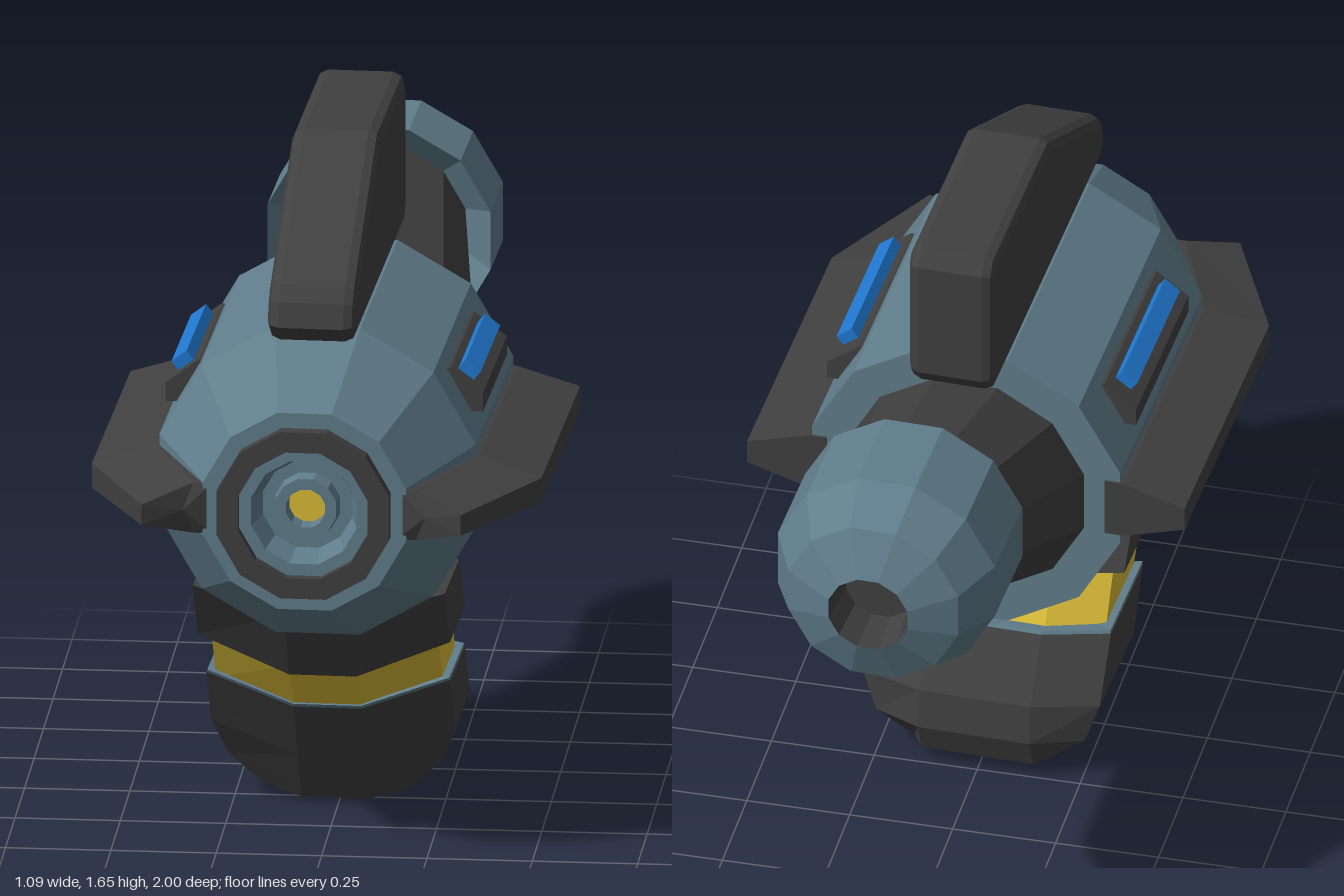
import * as THREE from 'three';

const mat = (name, color) => Object.assign(new THREE.MeshStandardMaterial({ color }), { name });

export function createModel() {
  const steel = mat('steelBlue', 0x607d8b);
  const dark = mat('charcoal', 0x404040);
  const yellow = mat('yellow', 0xdcbc38);
  const blue = mat('brightBlue', 0x2078d0);

  const model = new THREE.Group();
  model.name = 'poddedDevice';
  const Y = 0.895; // height of the body axis

  // Adds a part with faceted normals
  const add = (name, geo, material, y = 0) => {
    const flat = geo.index ? geo.toNonIndexed() : geo;
    flat.computeVertexNormals();
    const mesh = new THREE.Mesh(flat, material);
    mesh.name = name;
    mesh.position.y = y;
    model.add(mesh);
    return mesh;
  };

  // Twelve-sided turned part along z from [z, radius] pairs, flat side up
  const turned = (profile) => {
    const pts = profile.map(([z, r]) => new THREE.Vector2(r, z));
    return new THREE.LatheGeometry(pts, 12, Math.PI / 12).rotateX(Math.PI / 2);
  };

  // Closed skin over rings of equal point count, turned outward by its signed volume
  const loft = (rings) => {
    const tris = [];
    const n = rings[0].length;
    for (let k = 0; k < rings.length - 1; k++) {
      for (let i = 0; i < n; i++) {
        const j = (i + 1) % n;
        const [a, b, c, d] = [rings[k][i], rings[k][j], rings[k + 1][j], rings[k + 1][i]];
        tris.push([a, b, c], [a, c, d]);
      }
    }
    const last = rings[rings.length - 1];
    const mid = (r) => [0, 1, 2].map((q) => r.reduce((s, p) => s + p[q], 0) / n);
    const m0 = mid(rings[0]);
    const m1 = mid(last);
    for (let i = 0; i < n; i++) {
      const j = (i + 1) % n;
      tris.push([m0, rings[0][j], rings[0][i]], [m1, last[i], last[j]]);
    }
    const v = (p) => new THREE.Vector3(p[0] - m0[0], p[1] - m0[1], p[2] - m0[2]);
    const volume = tris.reduce((s, [a, b, c]) => s + v(a).dot(v(b).cross(v(c))), 0);
    if (volume < 0) tris.forEach((t) => t.reverse());
    const geo = new THREE.BufferGeometry();
    geo.setAttribute('position', new THREE.Float32BufferAttribute(tris.flat(2), 3));
    return geo;
  };

  // Main body with tapered nose and recessed nozzle
  add('body', turned([[-0.1, 0], [-0.1, 0.39], [0.65, 0.39], [0.915, 0.25], [0.915, 0.16],
    [0.925, 0.16], [0.925, 0.13], [0.85, 0.11], [0.85, 0.08], [0.89, 0.075], [0.89, 0.048], [0.82, 0.046]]), steel, Y);
  add('noseRing', turned([[0.9, 0.16], [0.9, 0.212], [0.95, 0.212], [0.95, 0.16], [0.9, 0.16]]), dark, Y);
  add('nozzleLens', turned([[0.84, 0.05], [0.84, 0]]), yellow, Y);

  // Rear arm rising to the ball
  const circle = (r, y, z) => Array.from({ length: 12 }, (_, i) => {
    const a = ((i + 0.5) * Math.PI) / 6;
    return [r * Math.cos(a), y + r * Math.sin(a), z];
  });
  add('rearArm', loft([circle(0.3, Y, -0.09), circle(0.2, 1.14, -0.68)]), dark);
  add('rearBall', turned([[-1, 0.1], [-0.95, 0.215], [-0.83, 0.275], [-0.58, 0.275], [-0.68, 0.19]]), steel, 1.135);
  add('rearSocket', turned([[-0.88, 0], [-0.88, 0.088], [-1, 0.1]]), dark, 1.135);

  // Side fins and light panels, mirrored
  for (const s of [1, -1]) {
    const side = s > 0 ? 'left' : 'right';
    // [root x, root z, root half height, tip x, tip z, tip half height]
    const fin = [[0.34, -0.105, 0.075, 0.535, -0.105, 0.03],
      [0.34, 0.64, 0.075, 0.535, 0.67, 0.03], [0.22, 0.91, 0.062, 0.38, 0.985, 0.025]];
    add(side + 'Fin', loft(fin.map(([rx, rz, rh, tx, tz, th]) => [
      [s * rx, Y - rh, rz], [s * (rx + 0.045), Y - rh, rz], [s * tx, Y - th, tz],
      [s * tx, Y + th, tz], [s * (rx + 0.045), Y + rh, rz], [s * rx, Y + rh, rz]])), dark);

    const panel = [[0.3, 1.04], [0.378, 1.04], [0.378, 1.085], [0.3, 1.143], [0.26, 1.14]];
    add(side + 'Panel', loft([0.04, 0.52].map((z) => panel.map(([x, y]) => [s * x, y, z]))), dark);
    const bar = add(side + 'LightBar', new THREE.BoxGeometry(0.046, 0.036, 0.39), blue);
    bar.position.set(s * 0.339, 1.126, 0.285);
    bar.rotation.z = -s * 0.66;
  }

  // Top fin with chamfered edges
  const b = 0.028;
  const outline = [[-0.25 + b, 1.29 + b], [-0.235 + b, 1.27 + b], [0.77 - b, 1.27 + b], [0.79 - b, 1.29 + b],
    [0.78 - b, 1.382 - b], [0.755 - b, 1.41 - b], [0.275, 1.65 - b], [-0.235 + b, 1.65 - b], [-0.25 + b, 1.63 - b]];
  const fin = new THREE.ExtrudeGeometry(new THREE.Shape(outline.map(([z, y]) => new THREE.Vector2(z, y))), {
    depth: 0.154, bevelEnabled: true, bevelSize: b, bevelThickness: b, bevelSegments: 2 });
  add('topFin', fin.translate(0, 0, -0.077).rotateY(-Math.PI / 2), dark);

  // Lower grip: stacked sections swept back, dipping at the front
  // station = [y, half width, front z, back z, dip at front centre]
  const section = ([y, x, f, k, dip]) => {
    const m = Math.min(0.08, x * 0.6);
    return [[x, y, f], [m, y - dip, f + 0.025], [-m, y - dip, f + 0.025], [-x, y, f],
      [-x, y, k + 0.06], [-m * 1.7, y + 0.01, k], [m * 1.7, y + 0.01, k], [x, y, k + 0.06]];
  };
  const grip = (name, material, stations) => add(name, loft(stations.map(section)), material);
  grip('gripCollar', dark, [[0.62, 0.3, 0.63, 0.28, 0.06], [0.47, 0.3, 0.525, 0.165, 0.085]]);
  grip('gripBand', yellow, [[0.49, 0.27, 0.52, 0.19, 0.085], [0.33, 0.27, 0.41, 0.1, 0.07]]);
  grip('gripRim', steel, [[0.357, 0.288, 0.438, 0.085, 0.07], [0.349, 0.288, 0.433, 0.08, 0.07]]);
  grip('gripFoot', dark, [[0.35, 0.29, 0.433, 0.08, 0.07], [0.21, 0.29, 0.35, -0.022, 0.075],
    [0.11, 0.255, 0.29, -0.032, 0.07], [0.03, 0.17, 0.27, 0.0, 0.02], [0.0, 0.08, 0.225, 0.08, 0]]);

  // Slight turn of the whole model
  model.rotation.y = -0.028;
  const root = new THREE.Group();
  root.name = 'model';
  root.add(model);
  return root;
}
